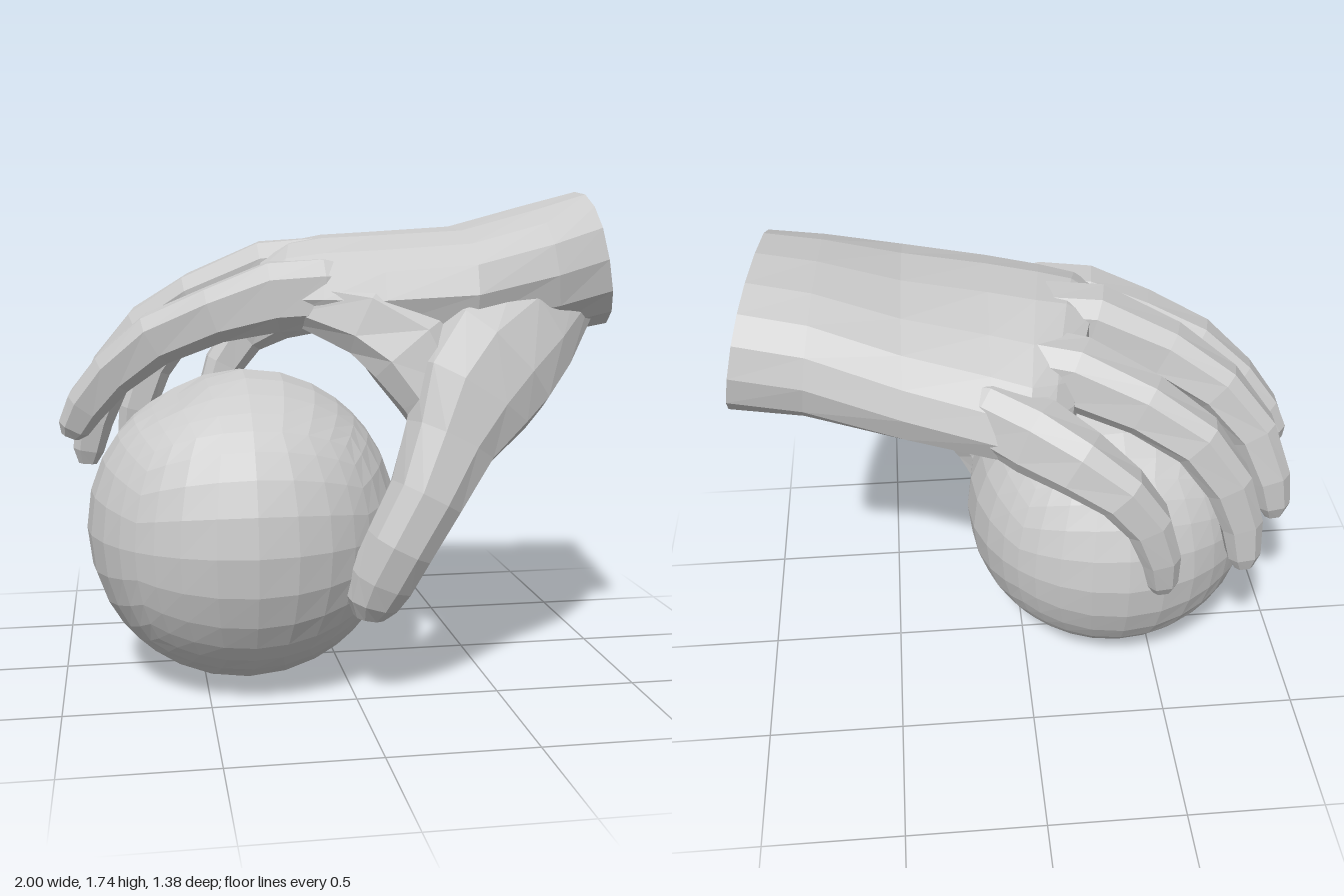
import * as THREE from 'three';

const material = new THREE.MeshStandardMaterial({ color: 0xcccccc, flatShading: true });
const V = (x, y, z) => new THREE.Vector3(x, y, z);
// Softened square profile: a smaller exponent is squarer.
const soft = (v, e) => Math.sign(v) * Math.pow(Math.abs(v), e);

// Skins a list of equal rings of points and closes both ends.
function skin(name, rings) {
  const n = rings[0].length, pos = [], idx = [];
  rings.forEach((ring) => ring.forEach((p) => pos.push(p.x, p.y, p.z)));
  for (let i = 0; i < rings.length - 1; i++) {
    for (let j = 0; j < n; j++) {
      const a = i * n + j, b = i * n + ((j + 1) % n);
      idx.push(a, b, a + n, b, b + n, a + n);
    }
  }
  [0, rings.length - 1].forEach((r) => {
    const c = rings[r].reduce((s, p) => s.add(p), V(0, 0, 0)).divideScalar(n);
    const k = pos.length / 3;
    pos.push(c.x, c.y, c.z);
    for (let j = 0; j < n; j++) {
      const a = r * n + j, b = r * n + ((j + 1) % n);
      if (r) idx.push(k, a, b);
      else idx.push(k, b, a);
    }
  });
  const g = new THREE.BufferGeometry();
  g.setAttribute('position', new THREE.Float32BufferAttribute(pos, 3));
  g.setIndex(idx);
  g.computeVertexNormals();
  const mesh = new THREE.Mesh(g, material);
  mesh.name = name;
  return mesh;
}

// Digit from stations [x, y, z, half width, half thickness], ending in a rounded tip.
function digit(name, stations, sides = 8, squareness = 0.7) {
  const pts = stations.map((s) => V(s[0], s[1], s[2]));
  const last = pts.length - 1;
  const rings = pts.map((p, i) => {
    const t = pts[Math.min(i + 1, last)].clone().sub(pts[Math.max(i - 1, 0)]).normalize();
    const side = V(0, 0, 1).addScaledVector(t, -t.z).normalize();
    const up = t.clone().cross(side);
    return Array.from({ length: sides }, (_, j) => {
      const a = ((j + 0.5) / sides) * Math.PI * 2;
      return p.clone()
        .addScaledVector(side, soft(Math.cos(a), squareness) * stations[i][3])
        .addScaledVector(up, soft(Math.sin(a), squareness) * stations[i][4]);
    });
  });
  return skin(name, rings);
}

// Palm and wrist from stations: thumb edge, little finger edge, tilt, half height, crown lift.
function palm() {
  const stations = [
    [V(0.89, 1.5, 0.43), V(0.98, 1.48, -0.3), -0.05, 0.245, 0],
    [V(0.69, 1.45, 0.5), V(0.74, 1.45, -0.34), -0.03, 0.235, 0],
    [V(0.4, 1.39, 0.55), V(0.42, 1.37, -0.43), 0, 0.22, 0.01],
    [V(0.1, 1.37, 0.48), V(0.14, 1.31, -0.5), 0, 0.2, 0.05],
    [V(-0.1, 1.37, 0.41), V(0.02, 1.29, -0.53), 0, 0.17, 0.08],
    [V(-0.23, 1.37, 0.36), V(-0.06, 1.29, -0.48), 0, 0.14, 0.09],
    [V(-0.33, 1.36, 0.29), V(-0.13, 1.31, -0.4), 0, 0.09, 0.08],
  ];
  const sides = 16;
  return skin('palm', stations.map(([f, b, tilt, h, lift]) => {
    const mid = f.clone().add(b).multiplyScalar(0.5);
    const half = f.clone().sub(b).multiplyScalar(0.5);
    return Array.from({ length: sides }, (_, j) => {
      const a = (j / sides) * Math.PI * 2;
      const c = soft(Math.cos(a), 0.85), s = soft(Math.sin(a), 0.85);
      return mid.clone().addScaledVector(half, c).add(V(tilt * s, h * s + lift * (1 - c * c), 0));
    });
  }));
}

// Ball: a subdivided cube pushed out to a sphere, pressed in slightly below the fingers.
function ball() {
  const g = new THREE.BoxGeometry(1, 1, 1, 8, 8, 8);
  const p = g.attributes.position, v = V(0, 0, 0), dent = V(-0.45, 0.88, 0.1);
  for (let i = 0; i < p.count; i++) {
    v.fromBufferAttribute(p, i).normalize();
    v.multiplyScalar(0.557 - 0.04 * Math.exp(-v.distanceToSquared(dent) / 0.08));
    p.setXYZ(i, v.x, v.y, v.z);
  }
  g.computeVertexNormals();
  const mesh = new THREE.Mesh(g, material);
  mesh.name = 'ball';
  mesh.position.set(-0.352, 0.556, 0.123);
  return mesh;
}

export function createModel() {
  const model = new THREE.Group();
  model.name = 'handHoldingBall';
  const hand = new THREE.Group();
  hand.name = 'hand';
  hand.add(
    palm(),
    digit('indexFinger', [
      [0.15, 1.4, 0.28, 0.08, 0.06], [-0.08, 1.385, 0.28, 0.12, 0.125], [-0.25, 1.375, 0.26, 0.12, 0.125],
      [-0.45, 1.315, 0.23, 0.11, 0.1], [-0.65, 1.23, 0.17, 0.1, 0.095], [-0.8, 1.11, 0.11, 0.09, 0.085],
      [-0.9, 0.99, 0.07, 0.08, 0.075], [-0.945, 0.91, 0.05, 0.065, 0.06], [-0.96, 0.875, 0.045, 0.04, 0.035],
    ]),
    digit('middleFinger', [
      [0.15, 1.47, 0.05, 0.08, 0.06], [-0.08, 1.465, 0.03, 0.11, 0.11], [-0.25, 1.445, 0.015, 0.115, 0.12],
      [-0.5, 1.35, -0.05, 0.105, 0.1], [-0.68, 1.24, -0.13, 0.095, 0.09], [-0.81, 1.08, -0.18, 0.085, 0.085],
      [-0.88, 0.9, -0.21, 0.08, 0.075], [-0.905, 0.78, -0.22, 0.065, 0.06], [-0.91, 0.725, -0.22, 0.04, 0.035],
    ]),
    digit('ringFinger', [
      [0.2, 1.44, -0.14, 0.08, 0.06], [0.0, 1.43, -0.2, 0.11, 0.11], [-0.16, 1.41, -0.26, 0.11, 0.12],
      [-0.38, 1.335, -0.355, 0.1, 0.1], [-0.55, 1.23, -0.425, 0.09, 0.09], [-0.66, 1.07, -0.45, 0.085, 0.085],
      [-0.72, 0.9, -0.455, 0.08, 0.075], [-0.74, 0.76, -0.465, 0.065, 0.06], [-0.745, 0.705, -0.47, 0.04, 0.035],
    ]),
    digit('littleFinger', [
      [0.3, 1.39, -0.28, 0.07, 0.06], [0.14, 1.355, -0.37, 0.1, 0.12], [0.0, 1.315, -0.47, 0.1, 0.13],
      [-0.14, 1.26, -0.555, 0.095, 0.11], [-0.27, 1.175, -0.61, 0.085, 0.09], [-0.36, 1.05, -0.615, 0.08, 0.08],
      [-0.41, 0.9, -0.61, 0.075, 0.07], [-0.425, 0.78, -0.6, 0.06, 0.055], [-0.43, 0.73, -0.595, 0.035, 0.035],
    ]),
    // Thumb fans out into the heel of the hand
    digit('thumb', [
      [0.8, 1.38, 0.26, 0.09, 0.13], [0.62, 1.28, 0.37, 0.14, 0.22], [0.48, 1.17, 0.44, 0.16, 0.25],
      [0.39, 1.05, 0.48, 0.15, 0.23], [0.31, 0.9, 0.52, 0.135, 0.165], [0.22, 0.72, 0.56, 0.13, 0.13],
      [0.13, 0.56, 0.57, 0.12, 0.12], [0.075, 0.44, 0.55, 0.105, 0.115], [0.045, 0.36, 0.54, 0.08, 0.095],
      [0.035, 0.305, 0.53, 0.045, 0.055],
    ], 10, 0.85),
    // Skin stretched between thumb and index finger
    digit('thumbWeb', [
      [0.33, 0.88, 0.5, 0.07, 0.08], [0.27, 1.05, 0.46, 0.11, 0.13], [0.19, 1.2, 0.42, 0.125, 0.16],
      [0.06, 1.3, 0.37, 0.12, 0.135], [-0.15, 1.36, 0.28, 0.09, 0.09],
    ]),
  );
  model.add(ball(), hand);
  return model;
}
